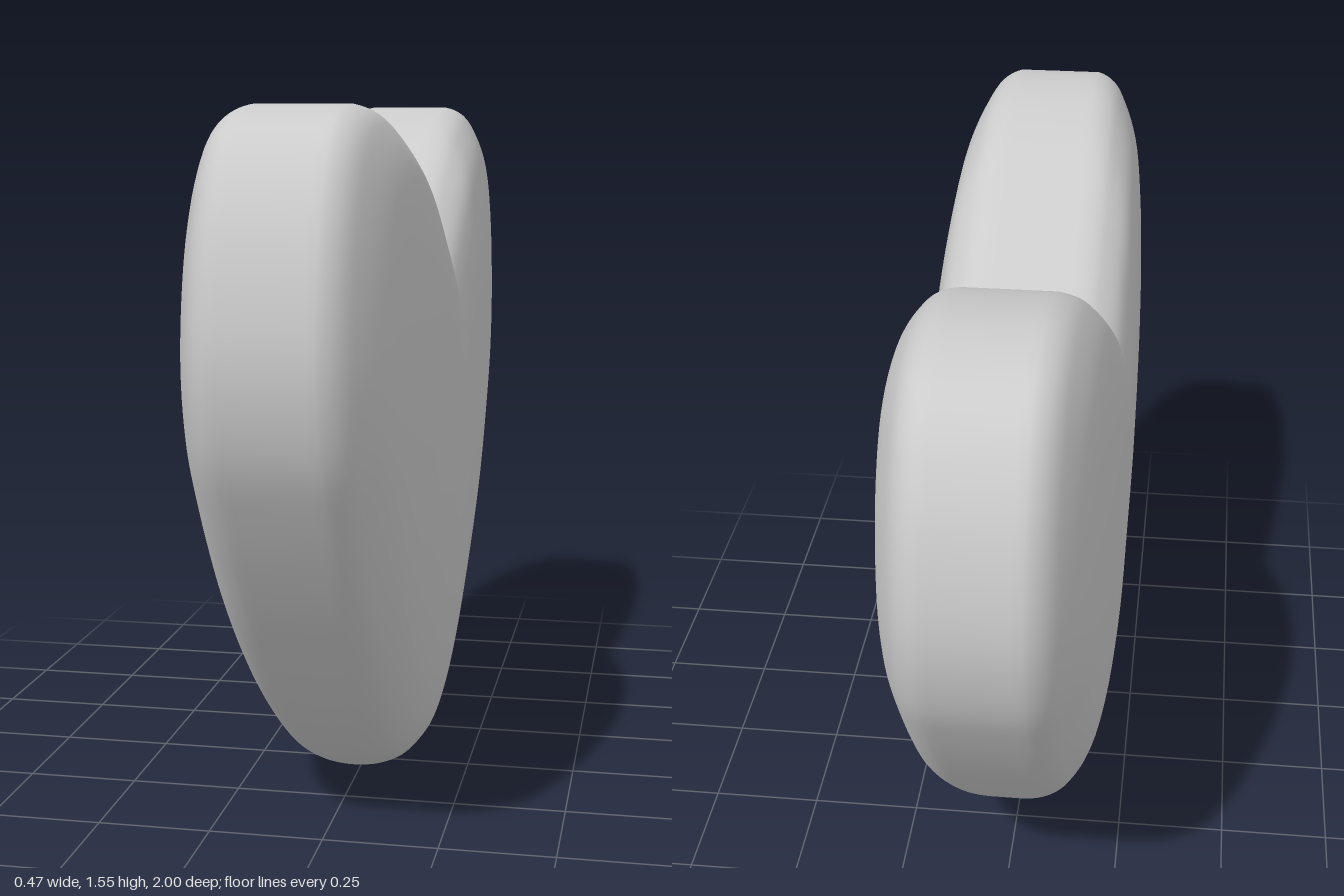
import * as THREE from 'three';

const CENTRE_Y = 0.85;
const STEPS = 96; // along the outline
const RINGS = 64; // across the thickness

const spline = (points) =>
  new THREE.CatmullRomCurve3(points.map(([a, b]) => new THREE.Vector3(a, b, 0)), false, 'centripetal');

// Half outline as (z, y), from the notch round the lobe to the tip
const outline = spline([
  [0, 1.27], [0.19, 1.385], [0.41, 1.5], [0.65, 1.545], [0.835, 1.5], [0.945, 1.36], [1, 1.12],
  [0.97, 0.93], [0.885, 0.77], [0.67, 0.476], [0.46, 0.25], [0.245, 0.085], [0.1, 0.02], [0, 0],
]);

// Thickness profiles as (scale of the outline, half width)
const profile = (points) => {
  const mirrored = points.slice(0, -1).reverse().map(([s, x]) => [s, -x]);
  return spline([...points, ...mirrored]);
};
const lobeProfile = profile([
  [0, 0.235], [0.3, 0.234], [0.5, 0.229], [0.7, 0.214], [0.83, 0.195],
  [0.92, 0.165], [0.975, 0.135], [1, 0.095], [1, 0],
]);
const tipProfile = profile([
  [0, 0.235], [0.3, 0.231], [0.5, 0.222], [0.7, 0.203], [0.83, 0.178],
  [0.91, 0.147], [0.965, 0.105], [0.992, 0.055], [1, 0],
]);

// One half of the heart; side is +1 for the front lobe, -1 for the back lobe
function halfHeart(side) {
  const positions = [];
  const index = [];
  const edge = outline.getSpacedPoints(STEPS);
  for (let i = 0; i <= STEPS; i++) {
    const { x: z, y } = edge[i];
    const tip = 1 - THREE.MathUtils.smoothstep(y, 0, 0.6);
    for (let j = 0; j <= RINGS; j++) {
      const p = lobeProfile.getPoint(j / RINGS).lerp(tipProfile.getPoint(j / RINGS), tip);
      const s = Math.min(Math.max(p.x, 0), 1);
      positions.push(p.y, CENTRE_Y + (y - CENTRE_Y) * s, side * z * s);
      if (i < STEPS && j < RINGS) {
        const a = i * (RINGS + 1) + j;
        const b = a + 1;
        const c = a + RINGS + 1;
        const d = c + 1;
        if (side > 0) index.push(a, b, c, b, d, c);
        else index.push(a, c, b, b, c, d);
      }
    }
  }
  const geometry = new THREE.BufferGeometry();
  geometry.setAttribute('position', new THREE.Float32BufferAttribute(positions, 3));
  geometry.setIndex(index);
  geometry.computeVertexNormals();
  return geometry;
}

export function createModel() {
  const group = new THREE.Group();
  group.name = 'heart';
  const material = new THREE.MeshStandardMaterial({ color: 0xcccccc });
  // The halves meet in a sharp crease at the notch
  for (const [name, side] of [['frontLobe', 1], ['backLobe', -1]]) {
    const mesh = new THREE.Mesh(halfHeart(side), material);
    mesh.name = name;
    group.add(mesh);
  }
  return group;
}
